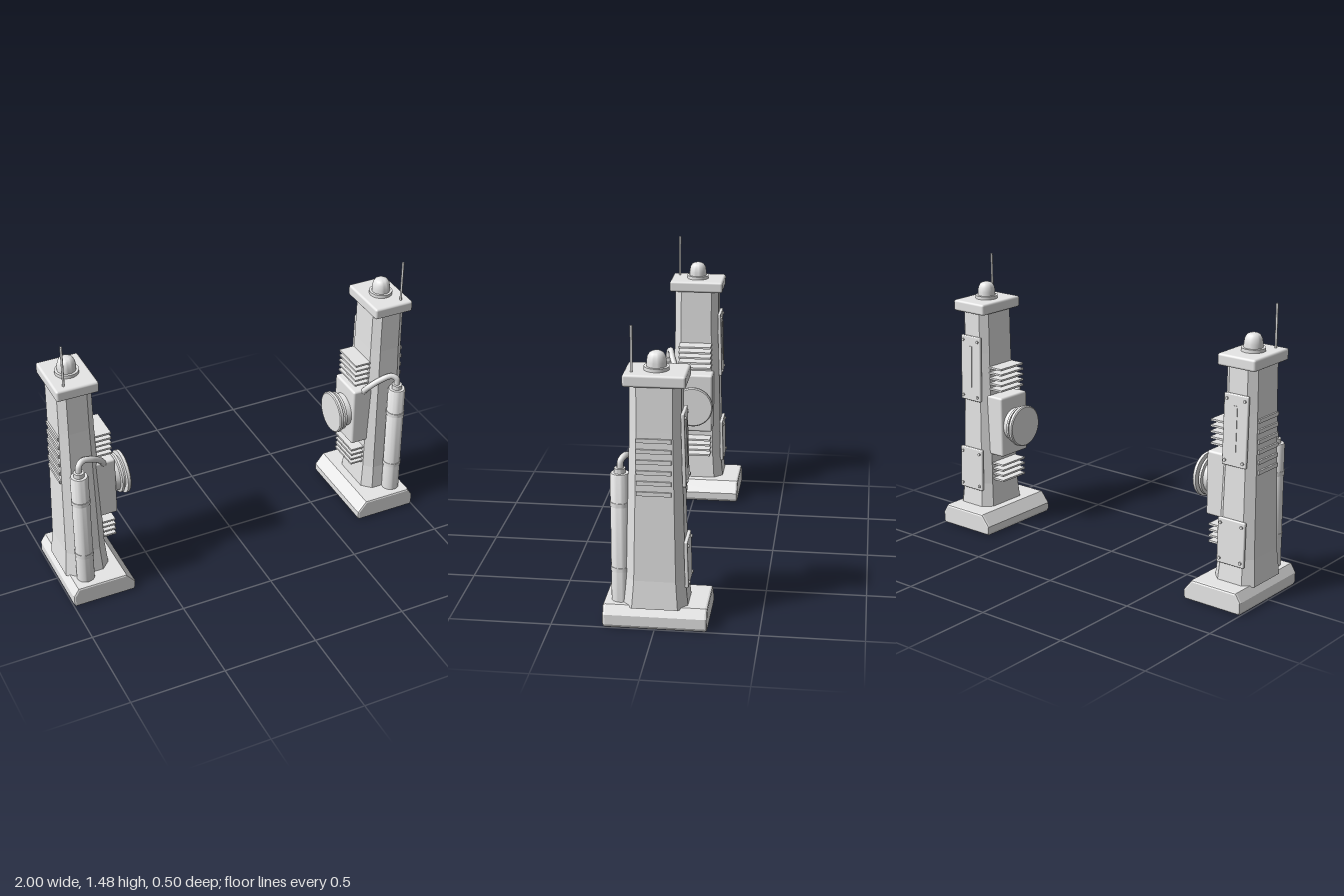
import * as THREE from 'three';
import { RoundedBoxGeometry } from 'three/addons/geometries/RoundedBoxGeometry.js';
import { toCreasedNormals } from 'three/addons/utils/BufferGeometryUtils.js';

const CX = 0.87; // centre line of the left tower

// Reflects a geometry in x and keeps its faces pointing outward
function mirrored(geo) {
  const g = geo.index ? geo.toNonIndexed() : geo.clone();
  g.scale(-1, 1, 1);
  const index = [];
  for (let i = 0; i < g.attributes.position.count; i += 3) index.push(i, i + 2, i + 1);
  g.setIndex(index);
  return g;
}

// Eight-sided column built from cross-sections: [y, half x, half z, chamfer]
function columnGeometry() {
  const sections = [
    [0.10, 0.118, 0.156, 0.046], [0.24, 0.106, 0.142, 0.042],
    [0.98, 0.091, 0.122, 0.037], [1.21, 0.089, 0.120, 0.036],
  ];
  const pos = [], index = [];
  for (const [y, a, b, c] of sections) {
    const ring = [[a, b - c], [a - c, b], [c - a, b], [-a, b - c],
      [-a, c - b], [c - a, -b], [a - c, -b], [a, c - b]];
    for (const [x, z] of ring) pos.push(CX + x, y, z);
  }
  for (let s = 0; s < sections.length - 1; s++) {
    for (let i = 0; i < 8; i++) {
      const p = s * 8 + i, q = s * 8 + (i + 1) % 8;
      index.push(p, p + 8, q, q, p + 8, q + 8);
    }
  }
  const g = new THREE.BufferGeometry();
  g.setAttribute('position', new THREE.Float32BufferAttribute(pos, 3));
  g.setIndex(index);
  const flat = g.toNonIndexed();
  flat.computeVertexNormals();
  return flat;
}

// Foot: sloped profile extruded front to back with a small bevel
function footGeometry() {
  const s = new THREE.Shape();
  [[0.668, 0], [0.66, 0.015], [0.66, 0.05], [0.708, 0.11], [0.972, 0.11], [1, 0.065], [1, 0.015], [0.992, 0]]
    .forEach(([x, y], i) => (i ? s.lineTo(x, y) : s.moveTo(x, y)));
  s.closePath();
  const g = new THREE.ExtrudeGeometry(s, {
    depth: 0.48, bevelEnabled: true, bevelThickness: 0.012, bevelSize: 0.01, bevelOffset: -0.01, bevelSegments: 2,
  });
  return g.translate(0, 0, -0.24);
}

const lathe = (pts, seg = 32) =>
  toCreasedNormals(new THREE.LatheGeometry(pts.map(([r, y]) => new THREE.Vector2(r, y)), seg), 0.6);
const rounded = (w, h, d, r) => new RoundedBoxGeometry(w, h, d, 2, r);

export function createModel() {
  const model = new THREE.Group();
  const grey = new THREE.MeshStandardMaterial({ color: 0xe7e7e7 });
  grey.name = 'light grey metal';
  const left = new THREE.Group(), right = new THREE.Group();
  left.name = 'leftTower';
  right.name = 'rightTower';
  model.add(left, right);

  // Adds a part to the left tower and its reflection to the right tower
  const add = (name, geo) => {
    for (const [tower, g] of [[left, geo], [right, mirrored(geo)]]) {
      const mesh = new THREE.Mesh(g, grey);
      mesh.name = name;
      tower.add(mesh);
    }
  };

  add('foot', footGeometry());
  add('column', columnGeometry());
  add('cap', rounded(0.218, 0.06, 0.294, 0.012).translate(CX, 1.23, 0));

  // Beacon and antenna on the cap
  add('beaconFlange', lathe([[0, 1.255], [0.06, 1.255], [0.06, 1.277], [0, 1.277]]).translate(CX, 0, 0));
  add('beacon', lathe([[0.047, 1.27], [0.047, 1.298], [0.043, 1.322], [0.034, 1.339], [0.022, 1.346], [0, 1.347]])
    .translate(CX, 0, 0));
  add('antenna', new THREE.CylinderGeometry(0.006, 0.006, 0.23, 10).translate(0.927, 1.365, 0.108));

  // Gas bottle with bands and neck
  add('bottle', lathe([[0, 0.105], [0.046, 0.105], [0.046, 0.75], [0.042, 0.758], [0.027, 0.758], [0.027, 0.782],
    [0, 0.782]]).translate(0.902, 0, 0.172));
  for (const y of [0.275, 0.605]) {
    add('bottleBand', lathe([[0.045, y - 0.011], [0.0485, y - 0.011], [0.0485, y + 0.011], [0.045, y + 0.011]])
      .translate(0.902, 0, 0.172));
  }

  // Hose from the bottle to the gearbox
  const path = new THREE.CatmullRomCurve3([
    [0.902, 0.77, 0.17], [0.899, 0.815, 0.168], [0.875, 0.83, 0.155], [0.82, 0.815, 0.142],
    [0.765, 0.772, 0.118], [0.738, 0.72, 0.085],
  ].map((p) => new THREE.Vector3(...p)));
  add('hose', new THREE.TubeGeometry(path, 28, 0.016, 10));

  // Gearbox and grooved drum on the inner side
  add('gearbox', rounded(0.15, 0.335, 0.205, 0.012).translate(0.757, 0.577, 0));
  const drum = lathe([[0.09, 0], [0.09, 0.04], [0.104, 0.044], [0.104, 0.057], [0.088, 0.06], [0.088, 0.068],
    [0.113, 0.07], [0.113, 0.085], [0.107, 0.09], [0, 0.09]], 40);
  add('drum', drum.rotateZ(Math.PI / 2).translate(0.693, 0.58, 0));

  // Cooling fins above and below the gearbox
  for (const y of [0.9, 0.87, 0.84, 0.81, 0.78, 0.355, 0.325, 0.295, 0.265]) {
    add('coolingFin', new THREE.BoxGeometry(0.12, 0.01, 0.18).translate(0.753, y, 0));
  }

  // Vent slats on the outer side
  for (let i = 0; i < 6; i++) {
    const y = 0.682 + i * 0.052;
    const face = CX + 0.106 - (y - 0.24) * 0.0203;
    add('ventSlat', new THREE.BoxGeometry(0.025, 0.02, 0.165).translate(face - 0.004, y, 0.003));
  }

  // Bolted plates on the back, leaning with the column
  const lean = 0.027;
  for (const [y, z, w, h] of [[0.89, -0.132, 0.14, 0.36], [0.32, -0.147, 0.16, 0.235]]) {
    const place = (g) => g.rotateX(lean).translate(CX, y, z);
    add('backPlate', place(rounded(w, h, 0.018, 0.006)));
    for (const sx of [-1, 1]) {
      for (const sy of [-1, 1]) {
        add('bolt', place(new THREE.CylinderGeometry(0.008, 0.008, 0.014, 10).rotateX(Math.PI / 2)
          .translate(sx * (w / 2 - 0.018), sy * (h / 2 - 0.025), -0.009)));
      }
    }
    if (h > 0.3) add('plateRib', place(new THREE.BoxGeometry(0.022, 0.23, 0.008).translate(0, 0.01, -0.008)));
  }
  return model;
}
